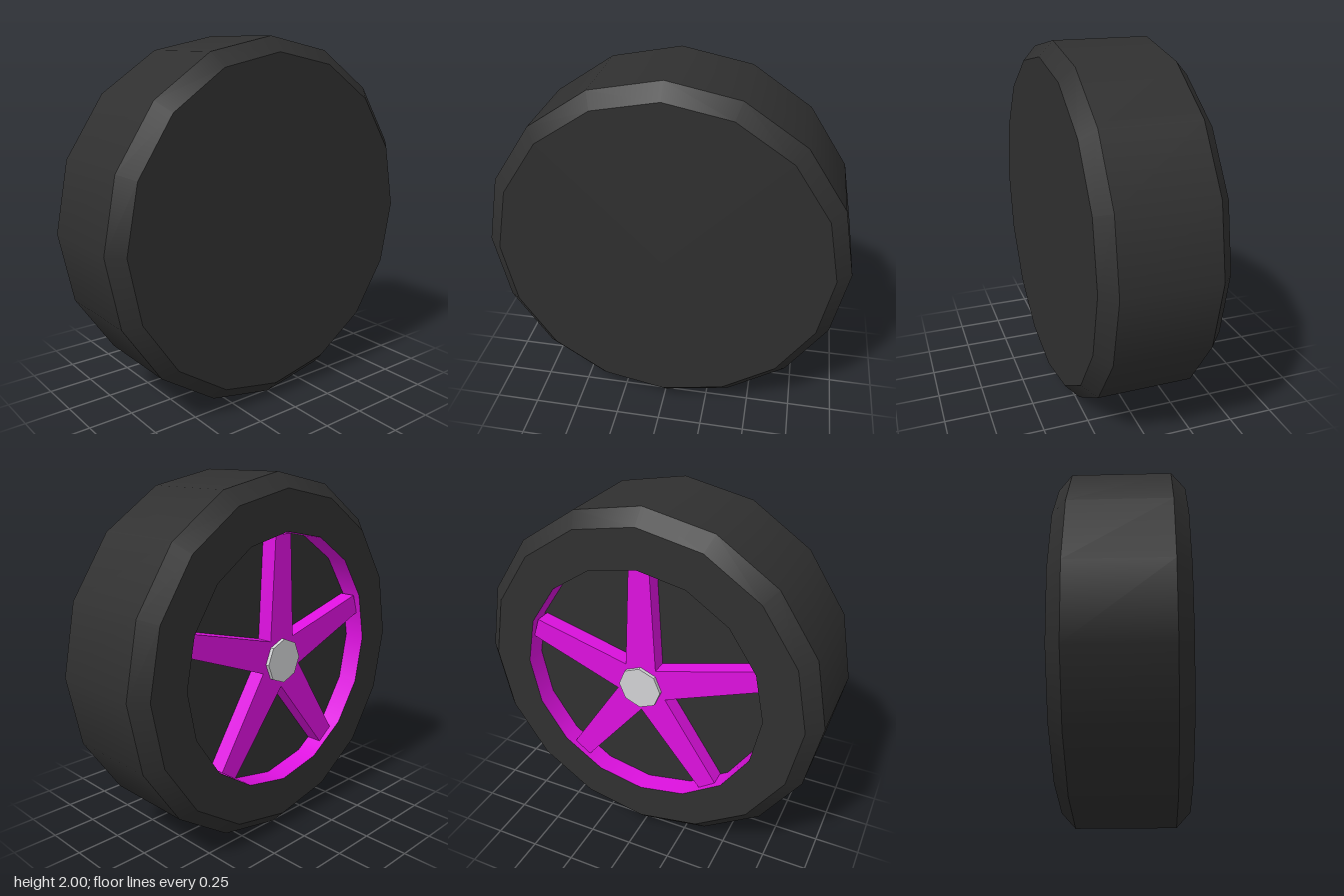
import * as THREE from 'three';

const rubber = new THREE.MeshStandardMaterial({ color: 0x303030 });
rubber.name = 'black rubber';
const magenta = new THREE.MeshStandardMaterial({ color: 0xde11e0 });
magenta.name = 'magenta paint';
const silver = new THREE.MeshStandardMaterial({ color: 0xd2d3d5 });
silver.name = 'silver';

const SIDES = 16;
const FACE = 0.335;  // half width of the tyre
const FLOOR = 0.215; // depth level of the wheel recess

export function createModel() {
  const wheel = new THREE.Group();
  wheel.name = 'wheel';

  // Everything turns about the x axis; the outer face looks toward -x.
  const add = (name, geometry, material, parent) => {
    const mesh = new THREE.Mesh(geometry, material);
    mesh.name = name;
    parent.add(mesh);
    return mesh;
  };

  // One lathed band per profile segment keeps the edges between bands sharp.
  const band = (name, from, to, material, parent) => {
    const points = [from, to].map(([r, h]) => new THREE.Vector2(r, h));
    const geometry = new THREE.LatheGeometry(points, SIDES).rotateZ(Math.PI / 2);
    return add(name, geometry, material, parent);
  };

  // Tyre: closed back, chamfers, tread and outer sidewall
  const tyre = new THREE.Group();
  tyre.name = 'tyre';
  const profile = [[0, -FACE], [0.92, -FACE], [1, -0.26], [1, 0.26], [0.92, FACE], [0.7, FACE]];
  const names = ['backFace', 'backChamfer', 'tread', 'outerChamfer', 'outerSidewall'];
  names.forEach((name, i) => band(name, profile[i], profile[i + 1], rubber, tyre));
  band('recessFloor', [0.7, FLOOR], [0, FLOOR], rubber, tyre);
  wheel.add(tyre);

  // Rim: inner wall of the recess
  band('rim', [0.7, FACE], [0.7, FLOOR], magenta, wheel);

  // Spokes: five tapered arms in one star outline
  const star = new THREE.Shape();
  const tip = 0.685, halfTip = 0.058, valley = 0.15;
  const outline = [];
  for (let i = 0; i < 5; i++) {
    const a = Math.PI / 2 + (i * Math.PI * 2) / 5;
    const c = Math.cos(a), s = Math.sin(a);
    outline.push(new THREE.Vector2(c * tip + s * halfTip, s * tip - c * halfTip));
    outline.push(new THREE.Vector2(c * tip - s * halfTip, s * tip + c * halfTip));
    const v = a + Math.PI / 5;
    outline.push(new THREE.Vector2(Math.cos(v) * valley, Math.sin(v) * valley));
  }
  star.setFromPoints(outline);
  const spokes = new THREE.ExtrudeGeometry(star, { depth: 0.09, bevelEnabled: false });
  spokes.translate(0, 0, FLOOR).rotateY(-Math.PI / 2);
  add('spokes', spokes, magenta, wheel);

  // Hub cap: small octagonal plug
  const hub = new THREE.CylinderGeometry(0.123, 0.123, 0.11, 8).toNonIndexed();
  hub.computeVertexNormals();
  hub.rotateZ(Math.PI / 2).translate(-(FLOOR + 0.055), 0, 0);
  add('hubCap', hub, silver, wheel);

  wheel.position.y = 1;
  const model = new THREE.Group();
  model.name = 'carWheel';
  model.add(wheel);
  return model;
}
